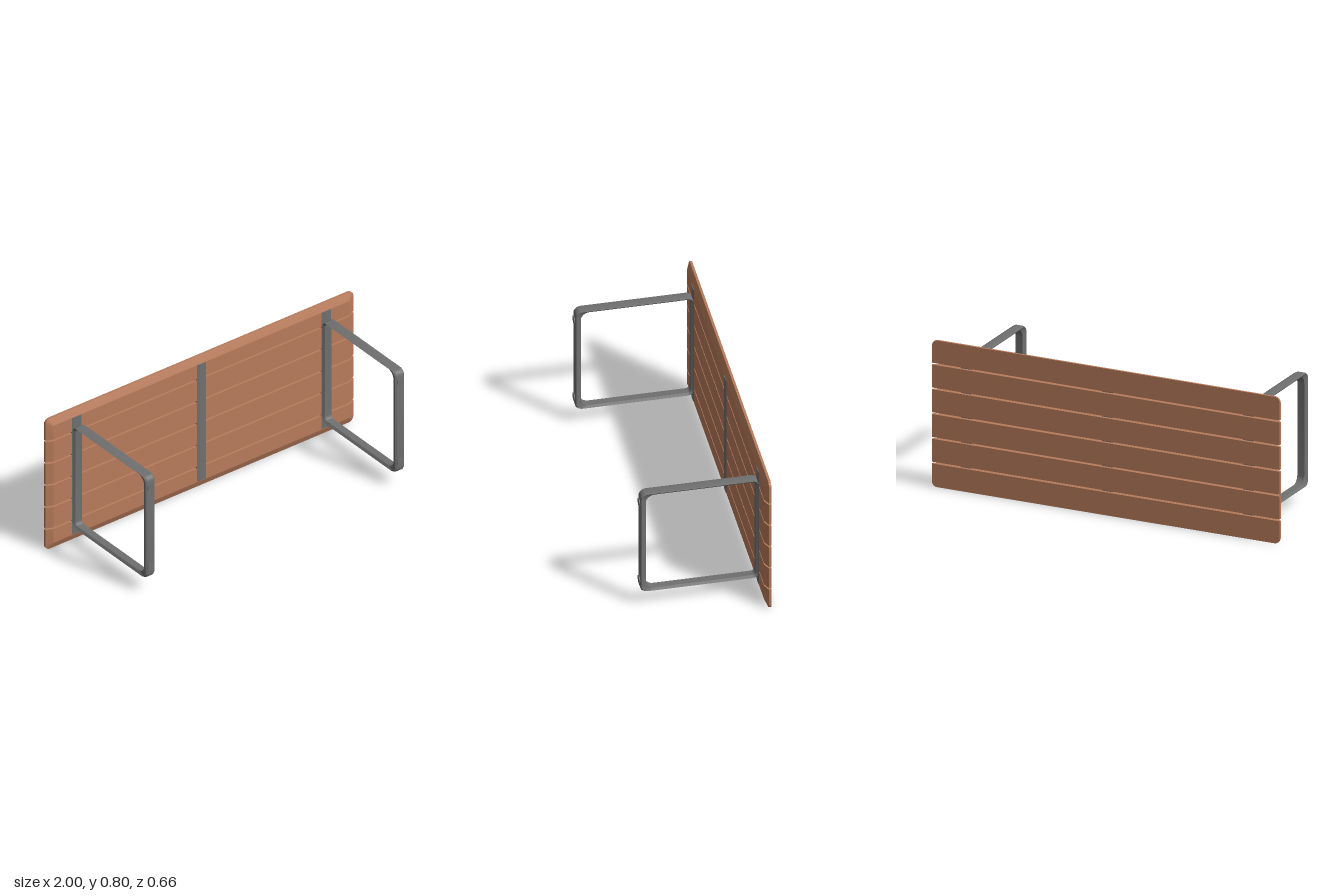
import * as THREE from 'three';
import { toCreasedNormals } from 'three/addons/utils/BufferGeometryUtils.js';

const wood = new THREE.MeshStandardMaterial({ color: 0xb97c5c });
wood.name = 'wood';
const metal = new THREE.MeshStandardMaterial({ color: 0x707070 });
metal.name = 'metal';

// Counter-clockwise rounded rectangle; radii start at the low corner
function roundedRect(u0, v0, u1, v1, radii, seg = 6) {
  const corners = [[u0, v0, 1, 1], [u1, v0, -1, 1], [u1, v1, -1, -1], [u0, v1, 1, -1]];
  const pts = [];
  corners.forEach(([u, v, su, sv], k) => {
    const r = radii[k];
    for (let i = 0; i <= seg; i++) {
      const a = Math.PI + (k + i / seg) * Math.PI / 2;
      pts.push([u + su * r + r * Math.cos(a), v + sv * r + r * Math.sin(a)]);
    }
  });
  return pts;
}

// Skin a list of equal rings, either closed on itself or capped
function loft(rings, closed, crease = 0.35) {
  const n = rings[0].length, m = rings.length, index = [];
  for (let i = 0; i < (closed ? m : m - 1); i++) {
    for (let j = 0; j < n; j++) {
      const k = (j + 1) % n, i2 = (i + 1) % m;
      const a = i * n + j, b = i * n + k, c = i2 * n + k, d = i2 * n + j;
      index.push(a, b, c, a, c, d);
    }
  }
  if (!closed) {
    const top = (m - 1) * n;
    for (let j = 1; j < n - 1; j++) index.push(0, j + 1, j, top, top + j, top + j + 1);
  }
  const g = new THREE.BufferGeometry();
  g.setAttribute('position', new THREE.Float32BufferAttribute(rings.flat(2), 3));
  g.setIndex(index);
  return toCreasedNormals(g, crease);
}

// One board; the outer rim of the underside is bevelled
function slatGeometry(i) {
  const y0 = i * 0.135, y1 = y0 + 0.125;
  const low = i === 0 ? 0.03 : 0, high = i === 5 ? 0.03 : 0;
  const outline = roundedRect(-1, y0, 1, y1, [low, low, high, high]);
  const { clamp } = THREE.MathUtils;
  return loft([
    outline.map(([x, y]) => [x, y, -0.33]),
    outline.map(([x, y]) => [x, y, -0.317]),
    outline.map(([x, y]) => [clamp(x, -0.96, 0.96), clamp(y, 0.04, 0.76), -0.299]),
  ], false);
}

// Closed leg loop: a wide band tapering toward its inside
function legGeometry() {
  const outer = roundedRect(-0.298, 0.09, 0.325, 0.71, [0.03, 0.03, 0.03, 0.03]);
  const inner = roundedRect(-0.284, 0.105, 0.295, 0.697, [0.02, 0.045, 0.045, 0.02]);
  const section = [[0.02, 0], [-0.02, 0], [-0.03, 0.18], [-0.02, 1], [0.02, 1], [0.03, 0.18]];
  return loft(section.map(([x, t]) => outer.map(([z, y], j) => [
    x, y + (inner[j][1] - y) * t, z + (inner[j][0] - z) * t,
  ])), true);
}

// Cross rail sunk into the boards, with sloped shoulders
function railGeometry() {
  const profile = [[-0.03, -0.313], [0.03, -0.313], [0.03, -0.2985],
    [0.014, -0.2955], [-0.014, -0.2955], [-0.03, -0.2985]];
  return loft([0.76, 0.045].map((y) => profile.map(([x, z]) => [x, y, z])), false, 0.1);
}

export function createModel() {
  const model = new THREE.Group();
  model.name = 'table';
  const add = (parent, name, geometry, material, x = 0, y = 0, z = 0) => {
    const mesh = new THREE.Mesh(geometry, material);
    mesh.name = name;
    mesh.position.set(x, y, z);
    parent.add(mesh);
    return mesh;
  };

  // Tabletop boards
  const top = new THREE.Group();
  top.name = 'tabletop';
  model.add(top);
  for (let i = 0; i < 6; i++) add(top, 'slat' + (i + 1), slatGeometry(i), wood);

  // Rails under the boards
  const rail = railGeometry();
  for (const [name, x] of [['rightRail', -0.81], ['middleRail', 0], ['leftRail', 0.81]]) {
    add(model, name, rail, metal, x);
  }

  // Leg loops with round foot pads
  const leg = legGeometry();
  const pad = new THREE.CylinderGeometry(0.0215, 0.0215, 0.012, 24).rotateX(Math.PI / 2);
  for (const [name, x] of [['rightLeg', -0.81], ['leftLeg', 0.81]]) {
    const group = new THREE.Group();
    group.name = name;
    group.position.x = x;
    model.add(group);
    add(group, 'legLoop', leg, metal);
    for (const y of [0.156, 0.647]) add(group, 'footPad', pad, metal, 0, y, 0.324);
  }
  return model;
}
